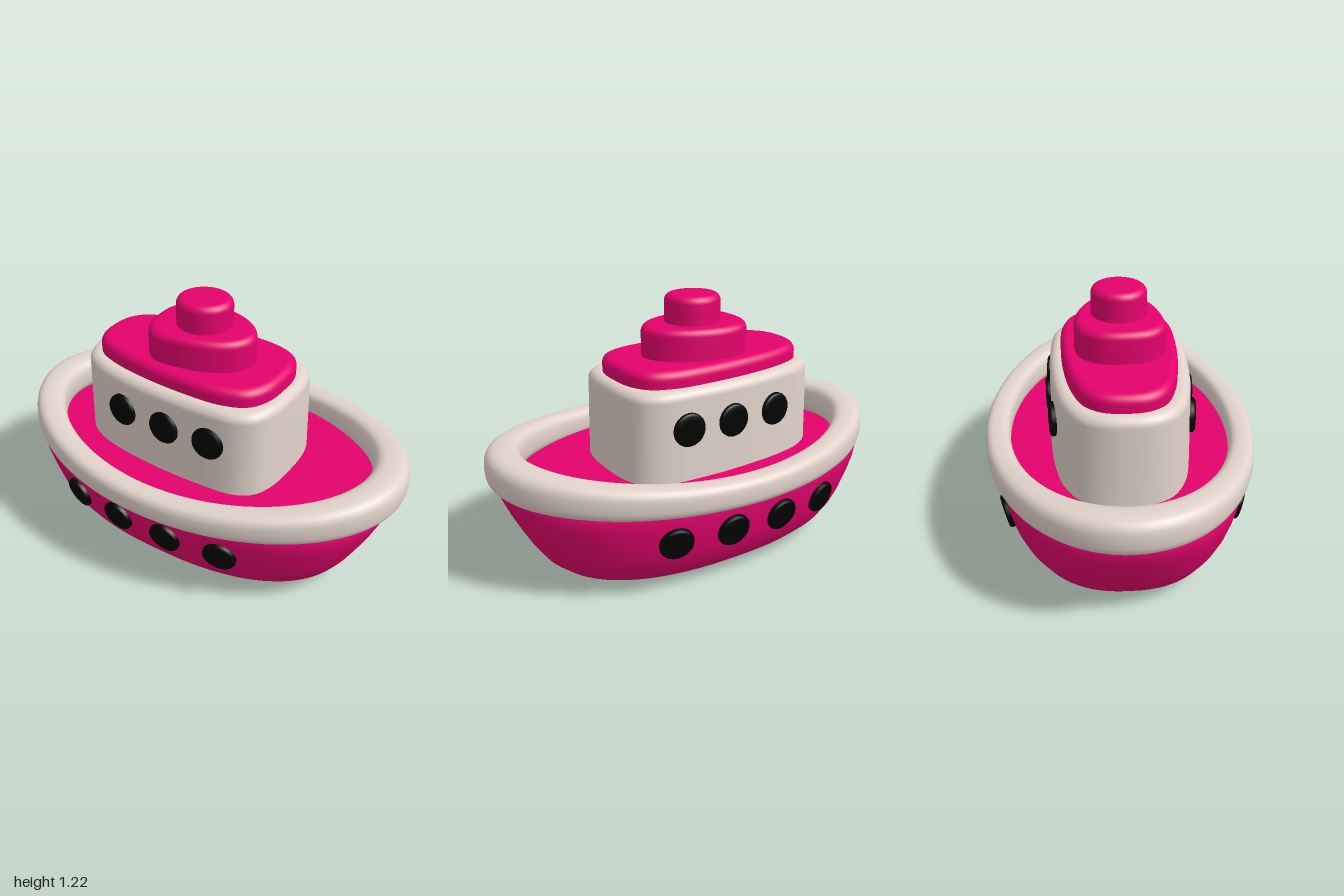
import * as THREE from 'three';

const N = 96;

// Skin over closed rings; ring(row, t) gives a point, t running 0..1 from +x towards +z
function loft(rows, ring, closed = false) {
  const pos = [], idx = [];
  for (const row of rows) {
    for (let j = 0; j < N; j++) pos.push(...ring(row, j / N));
  }
  const R = rows.length;
  for (let i = 0; i < (closed ? R : R - 1); i++) {
    for (let j = 0; j < N; j++) {
      const k = (j + 1) % N, up = (i + 1) % R;
      const a = i * N + j, b = up * N + j, c = i * N + k, d = up * N + k;
      idx.push(a, b, c, c, b, d);
    }
  }
  const g = new THREE.BufferGeometry();
  g.setAttribute('position', new THREE.Float32BufferAttribute(pos, 3));
  g.setIndex(idx);
  g.computeVertexNormals();
  return g;
}

// Block with a freeform outline, a rounded top edge and slightly leaning walls
function roundedBlock(outline, y0, y1, r, lean = 0) {
  const curve = new THREE.CatmullRomCurve3(
    outline.map(([x, z]) => new THREE.Vector3(x, 0, z)), true, 'centripetal');
  const loop = curve.getSpacedPoints(N);
  const box = new THREE.Box3().setFromPoints(loop);
  const c = box.getCenter(new THREE.Vector3());
  const h = box.getSize(new THREE.Vector3()).multiplyScalar(0.5);
  const rows = [[-lean, y0], [-lean / 2, (y0 + y1) / 2]];
  for (let i = 0; i <= 8; i++) {
    const a = i / 8 * Math.PI / 2;
    rows.push([r * (1 - Math.cos(a)), y1 - r + r * Math.sin(a)]);
  }
  rows.push([r + 0.02, y1], [Infinity, y1]);
  return loft(rows, ([inset, y], t) => {
    const p = loop[Math.round(t * N) % N];
    const sx = inset === Infinity ? 0 : 1 - inset / h.x;
    const sz = inset === Infinity ? 0 : 1 - inset / h.z;
    return [c.x + (p.x - c.x) * sx, y, c.z + (p.z - c.z) * sz];
  });
}

// Completes an outline given on the +z side, ordered from +x to -x
const mirrorZ = (half) => [
  ...half,
  ...half.filter(([, z]) => z > 0).reverse().map(([x, z]) => [x, -z]),
];

const power = (v, e) => Math.sign(v) * Math.pow(Math.abs(v), e);

export function createModel() {
  const pink = new THREE.MeshStandardMaterial({ color: 0xe4026c });
  pink.name = 'pink';
  const cream = new THREE.MeshStandardMaterial({ color: 0xe0d2ca });
  cream.name = 'cream';
  const black = new THREE.MeshStandardMaterial({ color: 0x030303 });
  black.name = 'black';

  const boat = new THREE.Group();
  boat.name = 'toyBoat';
  const add = (name, geometry, material, parent = boat) => {
    const m = new THREE.Mesh(geometry, material);
    m.name = name;
    parent.add(m);
    return m;
  };

  // Hull: full-bodied ovals given by half length, half width, height
  const FULL = 2.4;
  const oval = ([a, b, y], t) => [
    a * power(Math.cos(t * 2 * Math.PI), 2 / FULL), y,
    b * power(Math.sin(t * 2 * Math.PI), 2 / FULL),
  ];
  add('hull', loft([
    [0, 0, 0], [0.5, 0.25, 0], [0.6, 0.31, 0.001], [0.67, 0.38, 0.013],
    [0.73, 0.44, 0.045], [0.785, 0.492, 0.095], [0.825, 0.53, 0.155],
    [0.86, 0.555, 0.22], [0.9, 0.572, 0.3], [0.93, 0.583, 0.37],
    [0.942, 0.586, 0.42], [0.935, 0.575, 0.445],
  ], oval), pink);
  add('deck', loft([[0.92, 0.57, 0.445], [0, 0, 0.445]], oval), pink);

  // Gunwale: a fat rounded band that sweeps up to bow and stern
  const turns = Array.from({ length: 28 }, (_, i) => i / 28 * 2 * Math.PI);
  add('gunwale', loft(turns, (s, t) => {
    const a = t * 2 * Math.PI, lift = Math.cos(a) ** 2;
    const bottom = 0.41 + 0.03 * lift, top = 0.54 + 0.072 * lift;
    const u = power(Math.cos(s), 0.7), v = power(Math.sin(s), 0.7);
    return [
      (0.915 + 0.085 * u) * Math.cos(a),
      (top + bottom) / 2 + v * (top - bottom) / 2,
      (0.59 + 0.06 * u) * Math.sin(a),
    ];
  }, true), cream);

  // Cabin and stacked roof tiers
  add('cabin', roundedBlock(mirrorZ([
    [0.438, 0], [0.43, 0.14], [0.395, 0.245], [0.315, 0.302], [0.1, 0.325],
    [-0.1, 0.323], [-0.32, 0.302], [-0.48, 0.262], [-0.585, 0.195], [-0.633, 0.1], [-0.643, 0],
  ]), 0.43, 0.868, 0.045, 0.008), cream);
  add('cabinRoof', roundedBlock(mirrorZ([
    [0.388, 0], [0.378, 0.12], [0.325, 0.215], [0.21, 0.262], [0.05, 0.272],
    [-0.2, 0.258], [-0.4, 0.222], [-0.52, 0.172], [-0.575, 0.1], [-0.59, 0],
  ]), 0.85, 0.945, 0.04), pink);
  add('upperDeck', roundedBlock([
    [0.225, 0], [0.19, 0.09], [0.1, 0.16], [-0.06, 0.202], [-0.19, 0.2],
    [-0.265, 0.13], [-0.29, 0], [-0.275, -0.1], [-0.21, -0.18], [-0.08, -0.208],
    [0.08, -0.17], [0.18, -0.1],
  ], 0.93, 1.09, 0.035), pink);
  const circle = Array.from({ length: 12 }, (_, i) => {
    const a = i / 12 * 2 * Math.PI;
    return [-0.037 + 0.134 * Math.cos(a), 0.128 * Math.sin(a)];
  });
  add('funnel', roundedBlock(circle, 1.07, 1.222, 0.035), pink);

  // Round portholes with softened rims, facing +y before being turned outwards
  const porthole = new THREE.LatheGeometry([
    [0.079, -0.04], [0.079, 0.01], [0.075, 0.017], [0.067, 0.021], [0.05, 0.022], [0, 0.022],
  ].map(([x, y]) => new THREE.Vector2(x, y)), 32);
  const up = new THREE.Vector3(0, 1, 0);
  const place = (name, x, y, z, normal, group) => {
    const m = add(name, porthole, black, group);
    m.position.set(x, y, z);
    m.quaternion.setFromUnitVectors(up, normal.normalize());
  };
  const hullPorts = new THREE.Group(), cabinPorts = new THREE.Group();
  hullPorts.name = 'hullPortholes';
  cabinPorts.name = 'cabinPortholes';
  boat.add(hullPorts, cabinPorts);
  for (const side of [1, -1]) {
    for (const x of [-0.423, -0.155, 0.115, 0.39]) {
      const u = Math.abs(x) / 0.893, w = Math.pow(1 - u ** FULL, 1 / FULL);
      const n = new THREE.Vector3(
        Math.sign(x) * u ** (FULL - 1) / 0.893, -0.35, side * w ** (FULL - 1) / 0.569);
      place('hullPorthole', x, 0.285, side * 0.569 * w, n, hullPorts);
    }
    for (const [x, z, nx] of [[-0.3, 0.309, -0.1], [-0.048, 0.326, -0.03], [0.188, 0.321, 0.06]]) {
      place('cabinPorthole', x, 0.69, side * z, new THREE.Vector3(nx, 0, side), cabinPorts);
    }
  }
  return boat;
}
